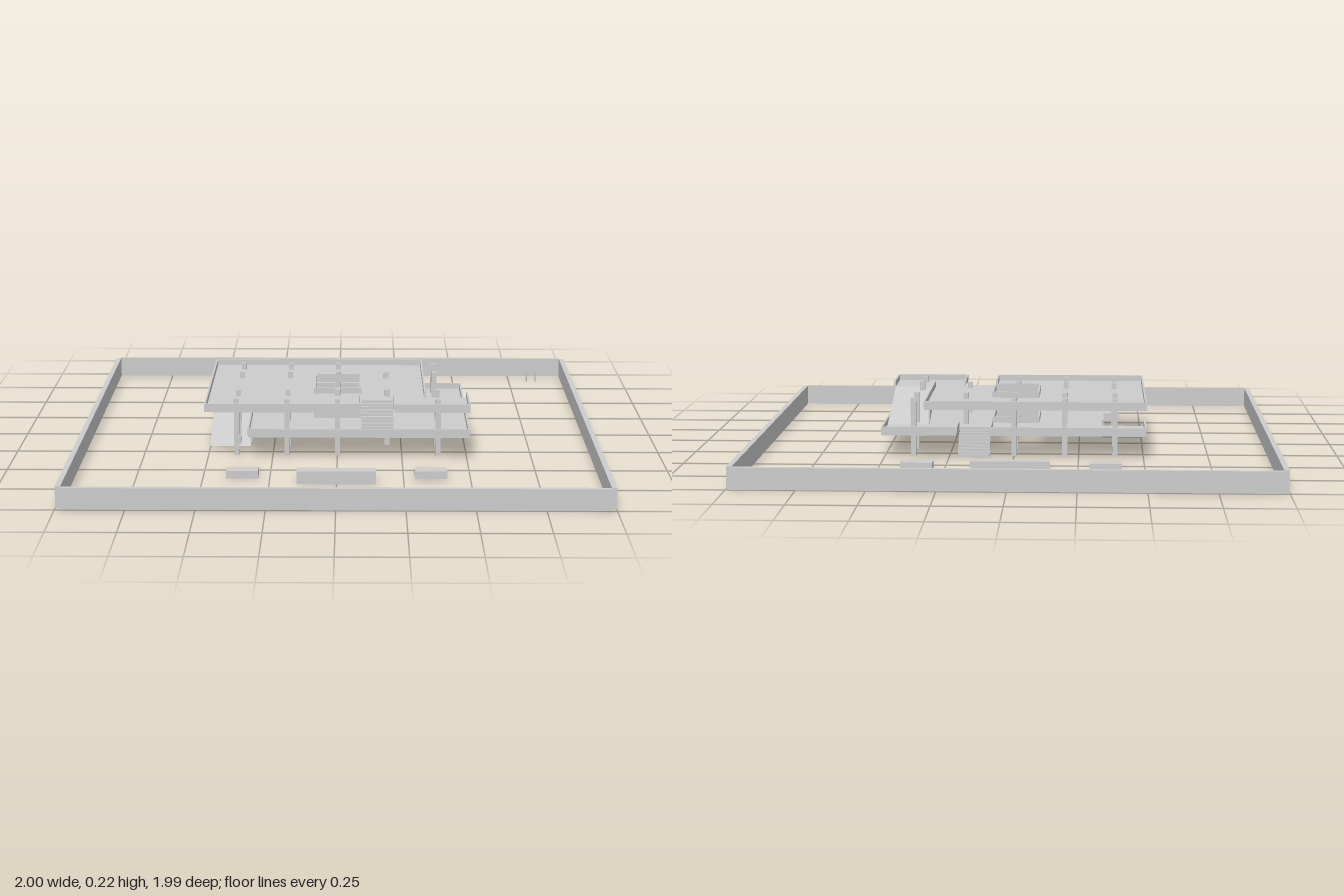
import * as THREE from 'three';

const concrete = new THREE.MeshStandardMaterial({ color: 0xcccccc });
concrete.name = 'concrete grey';

const HX = 0.51, HZ = 0.365;      // half size of the decks
const RX = 0.342, RZ = 0.17;      // ramp opening: inner x, half length
const SX0 = 0.09, SX1 = 0.22, SZ = 0.21; // stair notch
const T = 0.007, SLAB = 0.01, RAIL = 0.023, STOREY = 0.1;

function add(group, name, geometry) {
  const mesh = new THREE.Mesh(geometry, concrete);
  mesh.name = name;
  group.add(mesh);
  return mesh;
}

// Box given by its limits
function block(group, name, x0, x1, y0, y1, z0, z1) {
  const mesh = add(group, name, new THREE.BoxGeometry(x1 - x0, y1 - y0, z1 - z0));
  mesh.position.set((x0 + x1) / 2, (y0 + y1) / 2, (z0 + z1) / 2);
}

// Side profile of [z, y] points, extruded from x0 to x1
function profile(group, name, points, x0, x1) {
  const shape = new THREE.Shape(points.map(([z, y]) => new THREE.Vector2(-z, y)));
  const geo = new THREE.ExtrudeGeometry(shape, { depth: x1 - x0, bevelEnabled: false });
  geo.rotateY(Math.PI / 2).translate(x0, 0, 0);
  add(group, name, geo);
}

// Parapet strip along one straight edge
function parapet(group, a, b, top) {
  const w = Math.abs(a[0] - b[0]), d = Math.abs(a[1] - b[1]);
  const x = (a[0] + b[0]) / 2, z = (a[1] + b[1]) / 2;
  // keep outer strips inside the deck limits
  const ox = w < 1e-6 && Math.abs(x) > HX - 1e-6 ? -Math.sign(x) * T / 2 : 0;
  const oz = d < 1e-6 && Math.abs(z) > HZ - 1e-6 ? -Math.sign(z) * T / 2 : 0;
  const mesh = add(group, 'parapet', new THREE.BoxGeometry(Math.max(w, T), RAIL, Math.max(d, T)));
  mesh.position.set(x + ox, top + RAIL / 2, z + oz);
}

// One storey: slab with openings, parapets, ramp and stair leading up to it
function level(name, top, sx, sz) {
  const g = new THREE.Group();
  g.name = name;
  const [s0, s1] = sx > 0 ? [SX0, SX1] : [SX1, SX0];
  const outline = [
    [-sx * HX, HZ], [s0, HZ], [s0, SZ], [s1, SZ], [s1, HZ], [sx * HX, HZ],
    [sx * HX, RZ], [sx * RX, RZ], [sx * RX, -HZ], [-sx * HX, -HZ],
  ].map(([x, z]) => [x, z * sz]);
  const well = [[-0.09, -0.113], [0.09, -0.113], [0.09, 0.113], [-0.09, 0.113]];
  const vec = (p) => new THREE.Vector2(p[0], p[1]);
  const shape = new THREE.Shape(outline.map(vec));
  shape.holes.push(new THREE.Path(well.map(vec)));
  const slab = new THREE.ExtrudeGeometry(shape, { depth: SLAB, bevelEnabled: false });
  add(g, 'deck slab', slab.rotateX(Math.PI / 2).translate(0, top, 0));

  // the heads of the stair (edge 2) and ramp (edge 6) stay open
  outline.forEach((p, i) => {
    if (i !== 2 && i !== 6) parapet(g, p, outline[(i + 1) % outline.length], top);
  });
  well.forEach((p, i) => parapet(g, p, well[(i + 1) % 4], top));

  // ramp
  const low = top - STOREY;
  const [x0, x1] = sx > 0 ? [RX, HX - T] : [-HX + T, -RX];
  const flip = (pts) => pts.map(([z, y]) => [z * sz, y]);
  profile(g, 'ramp', flip([[RZ, top], [-RZ, low], [-RZ + 0.034, low], [RZ, top - SLAB]]), x0, x1);
  // wall between ramp and deck
  const wx = sx * RX;
  profile(g, 'ramp wall', flip([
    [RZ, top + RAIL], [-0.13, top + RAIL], [-0.13, low + 0.01], [RZ, top - SLAB],
  ]), wx - T / 2, wx + T / 2);

  // stair with a sloping underside
  const n = 10, zLow = 0.325, run = (zLow - SZ) / n, rise = STOREY / n;
  const steps = [[zLow, low]];
  for (let i = 0; i < n; i++) {
    steps.push([zLow - i * run, low + (i + 1) * rise], [zLow - (i + 1) * run, low + (i + 1) * rise]);
  }
  steps.push([SZ, top - 0.016], [zLow - 0.018, low]);
  profile(g, 'stair', flip(steps), SX0 + T / 2, SX1 - T / 2);
  return g;
}

export function createModel() {
  const model = new THREE.Group();
  model.name = 'parking deck';

  // boundary walls
  for (const s of [-1, 1]) {
    const z = s * 0.985, x = s * 0.99;
    block(model, 'boundary wall', -0.98, 0.98, 0, 0.08, z - 0.01, z + 0.01);
    block(model, 'boundary wall', x - 0.01, x + 0.01, 0, 0.08, -0.975, 0.975);
  }

  // decks
  model.add(level('lower deck', 0.1, -1, -1), level('upper deck', 0.2, 1, 1));

  // columns, leaving out those in the stair bays
  for (const z of [-0.29, -0.145, 0.145, 0.29]) {
    for (const x of [-0.39, -0.195, 0, 0.195, 0.39]) {
      if (x === 0.195 && Math.abs(z) > 0.2) continue;
      block(model, 'column', x - 0.01, x + 0.01, 0, 0.225, z - 0.01, z + 0.01);
    }
  }

  // low blocks in the yard
  for (const s of [-1, 1]) {
    block(model, 'long planter', -0.147, 0.147, 0, 0.05, s * 0.658 - 0.023, s * 0.658 + 0.023);
    for (const x of [-0.353, 0.353]) {
      block(model, 'small planter', x - 0.06, x + 0.06, 0, 0.03, s * 0.585 - 0.027, s * 0.585 + 0.027);
    }
  }

  // pair of thin posts in the corner
  for (const x of [0.828, 0.866]) {
    const post = add(model, 'thin post', new THREE.CylinderGeometry(0.003, 0.003, 0.04, 8));
    post.position.set(x, 0.02, -0.88);
  }
  return model;
}
